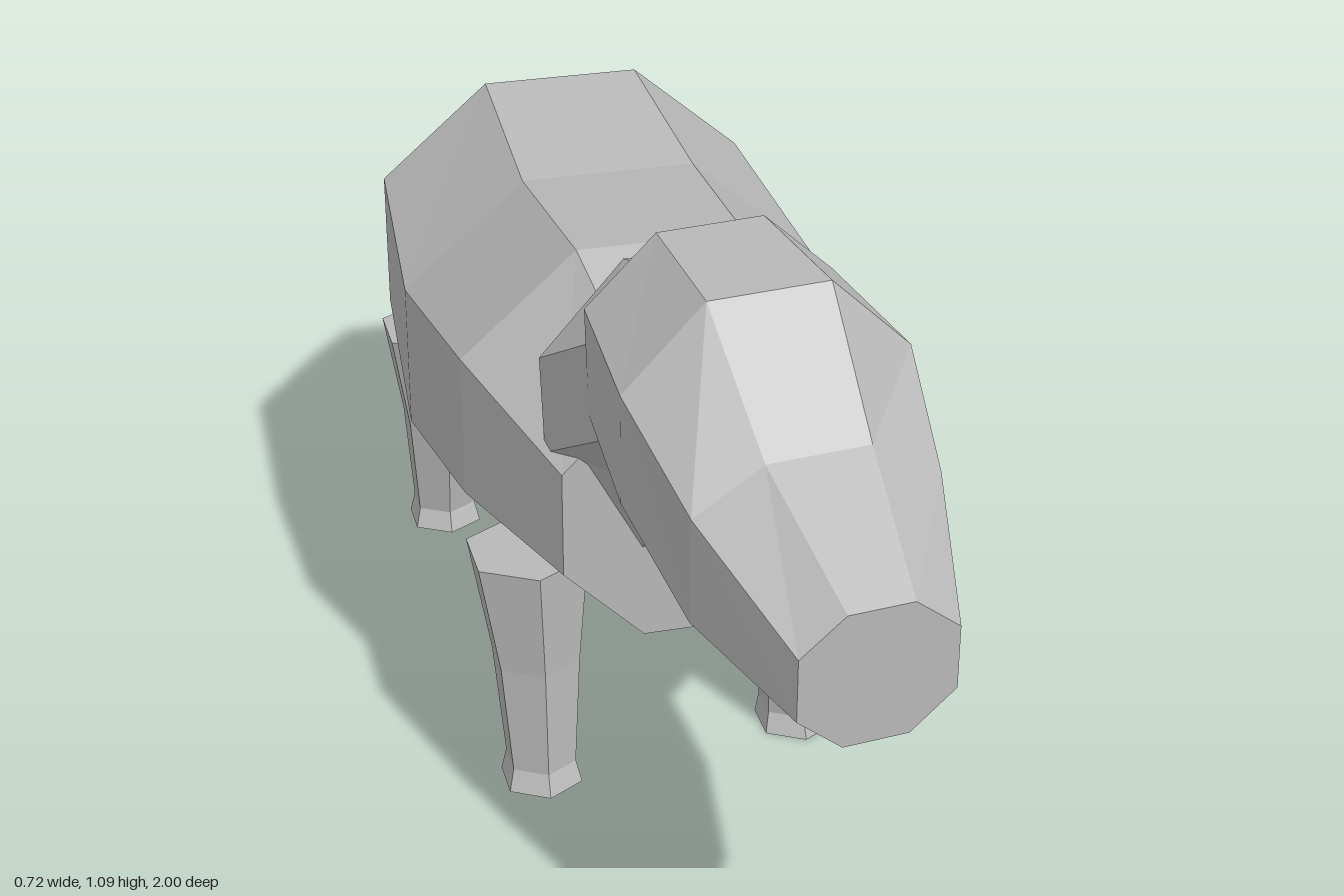
import * as THREE from 'three';

const grey = new THREE.MeshStandardMaterial({ color: 0xb8b8b8 });
grey.name = 'plain grey';

// Faceted skin over rings of equal point count, closed at both ends
function loft(name, rings) {
  const pos = [];
  const tri = (a, b, c) => [a, b, c].forEach((p) => pos.push(...p));
  const n = rings[0].length;
  for (let i = 0; i < rings.length - 1; i++) {
    for (let j = 0; j < n; j++) {
      const k = (j + 1) % n;
      const [a, b, c, d] = [rings[i][j], rings[i][k], rings[i + 1][k], rings[i + 1][j]];
      tri(a, b, c);
      tri(a, c, d);
    }
  }
  const first = rings[0], last = rings[rings.length - 1];
  for (let j = 1; j < n - 1; j++) {
    tri(first[0], first[j + 1], first[j]);
    tri(last[0], last[j], last[j + 1]);
  }
  const geo = new THREE.BufferGeometry();
  geo.setAttribute('position', new THREE.Float32BufferAttribute(pos, 3));
  geo.computeVertexNormals();
  const mesh = new THREE.Mesh(geo, grey);
  mesh.name = name;
  return mesh;
}

// Octagon section: centre x, half width, half width of the flat top and bottom,
// then [y, z] of the top, upper, lower and bottom corners; yaw skews z along x
function octagon(cx, half, flat, [top, upper, lower, bottom], yaw = 0) {
  const at = (dx, [y, z]) => [cx + dx, y, z + dx * yaw];
  return [
    at(half, lower), at(half, upper), at(flat, top), at(-flat, top),
    at(-half, upper), at(-half, lower), at(-flat, bottom), at(flat, bottom),
  ];
}

// Hexagon lying flat, with corners pointing forward and back
function flatHexagon(x, y, z, r) {
  return Array.from({ length: 6 }, (_, i) => {
    const a = (i * Math.PI) / 3;
    return [x + r * Math.sin(a), y, z + r * Math.cos(a)];
  });
}

// Leg tapering to a small flared hoof; the foot swings away from the hip in z
function leg(name, side, hipZ, footZ) {
  const levels = [
    // y, x, radius, share of swing, forward shift
    [0, 0.233, 0.072, 1, 0.008],
    [0.035, 0.232, 0.062, 1, 0],
    [0.23, 0.233, 0.077, 0.5, 0],
    [0.425, 0.24, 0.105, 0, 0],
  ];
  return loft(name, levels.map(([y, x, r, s, f]) =>
    flatHexagon(side * x, y, hipZ + (footZ - hipZ) * s + f, r)));
}

export function createModel() {
  const group = new THREE.Group();
  group.name = 'animal';

  // Body, from rump to chest: z, half width, flat, then corner heights
  const body = [
    [-0.965, 0.215, 0.09, 0.78, 0.65, 0.49, 0.37],
    [-0.68, 0.33, 0.138, 0.925, 0.76, 0.515, 0.345],
    [-0.31, 0.358, 0.149, 0.895, 0.715, 0.46, 0.283],
    [0.05, 0.33, 0.138, 0.93, 0.76, 0.515, 0.34],
    [0.315, 0.225, 0.095, 0.81, 0.68, 0.5, 0.37],
  ].map(([z, half, flat, ...ys]) => octagon(0, half, flat, ys.map((y) => [y, z])));
  group.add(loft('body', body));

  // Neck
  group.add(loft('neck', [
    octagon(-0.003, 0.235, 0.095, [[0.98, 0.2], [0.84, 0.225], [0.69, 0.255], [0.525, 0.31]]),
    octagon(0, 0.185, 0.078, [[1.04, 0.38], [0.95, 0.4], [0.8, 0.43], [0.7, 0.43]]),
  ]));

  // Head, turned slightly, from the crown to the muzzle
  const yaw = -0.11;
  group.add(loft('head', [
    octagon(0, 0.197, 0.085, [[1.09, 0.34], [0.985, 0.34], [0.82, 0.36], [0.73, 0.38]], yaw),
    octagon(0.022, 0.223, 0.095, [[1.09, 0.575], [0.965, 0.575], [0.79, 0.575], [0.66, 0.585]], yaw),
    octagon(0.042, 0.188, 0.08, [[0.925, 0.76], [0.86, 0.76], [0.69, 0.755], [0.597, 0.755]], yaw),
    octagon(0.063, 0.119, 0.05, [[0.81, 0.985], [0.755, 0.985], [0.655, 0.985], [0.597, 0.985]], yaw),
  ]));

  // Legs
  group.add(leg('frontLeftLeg', 1, 0.1, 0.082));
  group.add(leg('frontRightLeg', -1, 0.1, 0.138));
  group.add(leg('backLeftLeg', 1, -0.733, -0.68));
  group.add(leg('backRightLeg', -1, -0.733, -0.753));

  // Stub tail, from tip to root
  const tailRing = (y, z, r, h) => Array.from({ length: 6 }, (_, i) => {
    const a = (i * Math.PI) / 3;
    return [r * Math.cos(a), y + h * Math.sin(a), z];
  });
  group.add(loft('tail', [
    tailRing(0.652, -1, 0.02, 0.027),
    tailRing(0.7, -0.96, 0.042, 0.048),
  ]));

  return group;
}
